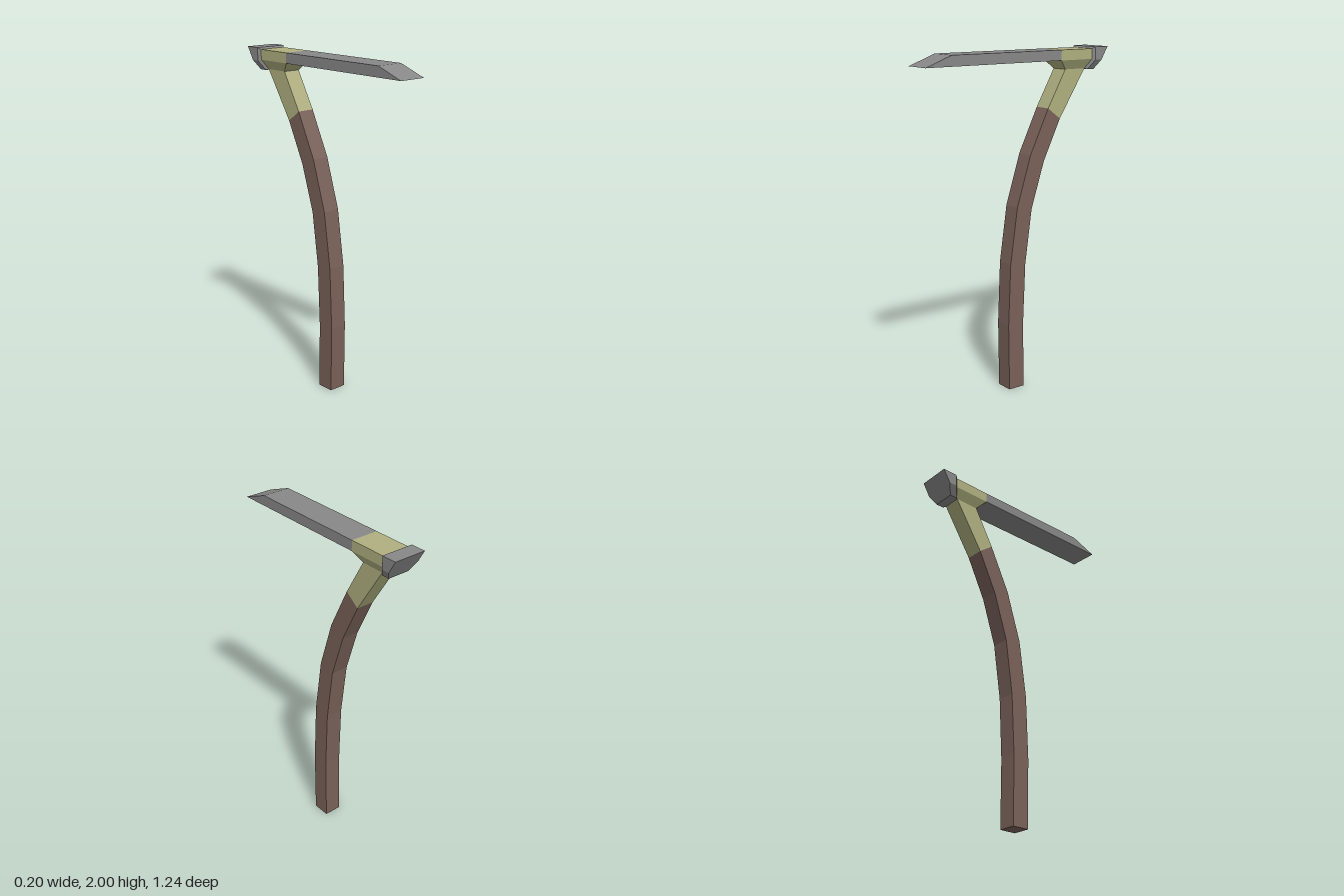
import * as THREE from 'three';

// Skins a stack of rings (equal, even corner counts, counter-clockwise about the
// direction of travel); caps are closed with strips between the two halves of a ring.
function loft(name, rings, color) {
  const pos = [];
  const quad = (a, b, c, d) => pos.push(...a, ...b, ...c, ...a, ...c, ...d);
  const n = rings[0].length;
  for (let i = 0; i < rings.length - 1; i++) {
    const r = rings[i], s = rings[i + 1];
    for (let k = 0; k < n; k++) {
      const m = (k + 1) % n;
      quad(r[k], r[m], s[m], s[k]);
    }
  }
  const first = rings[0], last = rings[rings.length - 1];
  for (let k = 0; k < n / 2 - 1; k++) {
    const p = n - 2 - k, q = n - 1 - k;
    quad(last[k], last[k + 1], last[p], last[q]);
    quad(first[q], first[p], first[k + 1], first[k]);
  }
  const geometry = new THREE.BufferGeometry();
  geometry.setAttribute('position', new THREE.Float32BufferAttribute(pos, 3));
  geometry.computeVertexNormals();
  const mesh = new THREE.Mesh(geometry, new THREE.MeshStandardMaterial({ color, flatShading: true }));
  mesh.name = name;
  return mesh;
}

// Rectangular ring: half width, front edge (z, y), back edge (z, y)
const rect = (w, zf, yf, zb, yb) => [[w, yf, zf], [w, yb, zb], [-w, yb, zb], [-w, yf, zf]];

// Mirrored six-corner ring from [half width, y, z] rows, bottom to top
const mirrored = (rows) => [
  ...rows.map(([w, y, z]) => [-w, y, z]),
  ...rows.slice().reverse(),
];

export function createModel() {
  const group = new THREE.Group();
  group.name = 'pickTool';
  const wood = 0x7a625a, brass = 0xb0b080, steel = 0x888888;
  const grip = 0.053;

  // Curved wooden handle
  group.add(loft('handle', [
    rect(grip, 0.06, 0, -0.045, 0),
    rect(grip, 0.066, 0.4, -0.04, 0.4),
    rect(grip, 0.051, 0.77, -0.055, 0.76),
    rect(grip, 0.003, 1.105, -0.1, 1.085),
    rect(grip, -0.09, 1.4, -0.188, 1.357),
    rect(grip, -0.217, 1.66, -0.304, 1.595),
  ], wood));

  // Socket: neck flaring into the block that holds the blade
  group.add(loft('socket', [
    rect(grip, -0.217, 1.66, -0.304, 1.595),
    rect(grip, -0.34, 1.876, -0.485, 1.876),
    rect(0.084, -0.287, 1.93, -0.515, 1.93),
    rect(0.084, -0.287, 1.99, -0.515, 1.99),
  ], brass));

  // Flat blade with a chisel tip
  group.add(loft('blade', [
    rect(0.084, 0.62, 1.93, -0.287, 1.93),
    rect(0.084, 0.455, 1.99, -0.287, 1.99),
  ], steel));

  // Hammer head: bevelled collar, then a slanted striking face
  group.add(loft('hammerHead', [
    mirrored([[grip, 1.876, -0.485], [0.084, 1.93, -0.515], [0.084, 1.99, -0.515]]),
    mirrored([[0.065, 1.87, -0.497], [0.098, 1.925, -0.53], [0.098, 2, -0.53]]),
    mirrored([[0.065, 1.87, -0.545], [0.098, 1.925, -0.578], [0.098, 2, -0.622]]),
  ], steel));

  return group;
}
